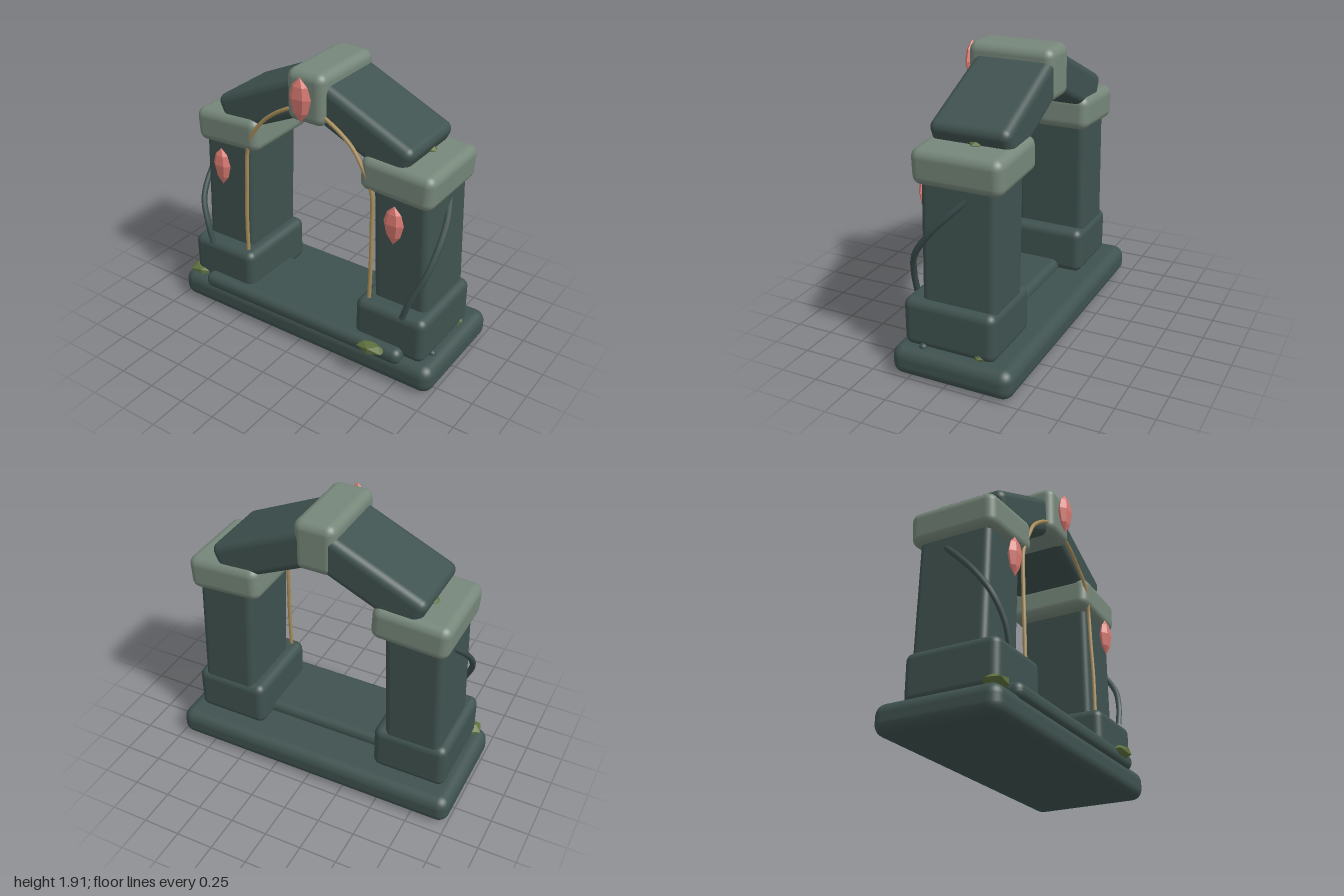
import * as THREE from 'three';
import { RoundedBoxGeometry } from 'three/addons/geometries/RoundedBoxGeometry.js';

const mat = (name, color, flatShading = false) => {
  const m = new THREE.MeshStandardMaterial({ color, flatShading });
  m.name = name;
  return m;
};

export function createModel() {
  const darkStone = mat('dark stone', 0x3f524f);
  const paleStone = mat('pale stone', 0x76877a);
  const root = mat('root', 0x3a4d4b);
  const gold = mat('gold vine', 0xa88d5a);
  const crystal = mat('crystal', 0xda7a72, true);
  const moss = mat('moss', 0x5f723f, true);

  const model = new THREE.Group();
  model.name = 'stoneArch';

  const add = (name, geometry, material, x = 0, y = 0, z = 0, tilt = 0) => {
    const mesh = new THREE.Mesh(geometry, material);
    mesh.name = name;
    mesh.position.set(x, y, z);
    mesh.rotation.z = tilt;
    model.add(mesh);
    return mesh;
  };
  const block = (name, material, size, radius, position, tilt = 0) =>
    add(name, new RoundedBoxGeometry(...size, 5, radius), material, ...position, tilt);

  // Tube along a smooth path, mirrored to either side
  const vine = (name, material, side, points, radius) => {
    const path = new THREE.CatmullRomCurve3(
      points.map(([x, y, z]) => new THREE.Vector3(side * x, y, z)));
    add(name, new THREE.TubeGeometry(path, 48, radius, 8), material);
  };

  // Faceted gem, pointed at both ends
  const gem = (name, x, y, z, w, h, d) => {
    const profile = [[0, -1], [0.68, -0.55], [1, 0.1], [0.72, 0.62], [0, 1]]
      .map(([r, v]) => new THREE.Vector2(r, v));
    add(name, new THREE.LatheGeometry(profile, 6, Math.PI / 6), crystal, x, y, z)
      .scale.set(w, h, d);
  };

  // Squashed faceted clump
  const clump = (x, y, z, w, h, d, turn) => {
    const mesh = add('moss', new THREE.IcosahedronGeometry(1, 0), moss, x, y, z);
    mesh.scale.set(w, h, d);
    mesh.rotation.y = turn;
  };

  // Plinth and threshold step
  block('plinth', darkStone, [2, 0.195, 0.815], 0.075, [0, 0.0975, -0.0325]);
  block('step', darkStone, [1.57, 0.11, 0.53], 0.05, [0, 0.205, 0.125]);

  for (const side of [-1, 1]) {
    // Pillar
    block('pillarFoot', darkStone, [0.505, 0.32, 0.62], 0.055, [side * 0.665, 0.34, 0.01]);
    block('pillar', darkStone, [0.38, 0.9, 0.495], 0.045, [side * 0.665, 0.86, -0.0375], side * 0.035);
    block('capital', paleStone, [0.5, 0.23, 0.59], 0.06, [side * 0.633, 1.35, -0.04], side * -0.055);

    // Sloping roof beam
    block('beam', darkStone, [0.74, 0.255, 0.525], 0.055, [side * 0.345, 1.592, -0.0425], side * -0.43);

    gem('pillarCrystal', side * 0.655, 1.1, 0.277, 0.07, 0.132, 0.035);

    // Root wrapping the outer side of the pillar
    vine('root', root, side, [
      [0.755, 0.48, 0.305], [0.8, 0.62, 0.295], [0.865, 0.78, 0.245],
      [0.885, 0.93, 0.14], [0.87, 1.07, 0.01], [0.825, 1.175, -0.1],
    ], 0.02);

    // Gold vine up the inner edge and under the arch
    vine('goldVine', gold, side, [
      [0.485, 0.49, 0.255], [0.488, 0.75, 0.25], [0.482, 1, 0.24], [0.47, 1.25, 0.235],
      [0.42, 1.38, 0.245], [0.32, 1.51, 0.232], [0.14, 1.63, 0.225], [0, 1.67, 0.2],
    ], 0.013);

    clump(side * 0.68, 1.465, -0.08, 0.045, 0.025, 0.045, side * 0.4);
  }

  // Keystone and its crystal
  block('keystone', paleStone, [0.275, 0.34, 0.575], 0.06, [0, 1.74, -0.0225]);
  gem('keystoneCrystal', 0, 1.745, 0.297, 0.08, 0.145, 0.037);

  // Moss on the ground
  clump(-0.87, 0.225, 0.285, 0.1, 0.035, 0.085, 0.3);
  clump(0.59, 0.232, 0.39, 0.105, 0.037, 0.055, 0);
  clump(0.89, 0.21, -0.2, 0.04, 0.035, 0.045, 0.5);

  // Pebble beside the right pillar foot
  add('pebble', new THREE.SphereGeometry(0.025, 12, 8), root, 0.915, 0.195, 0.18);

  return model;
}
